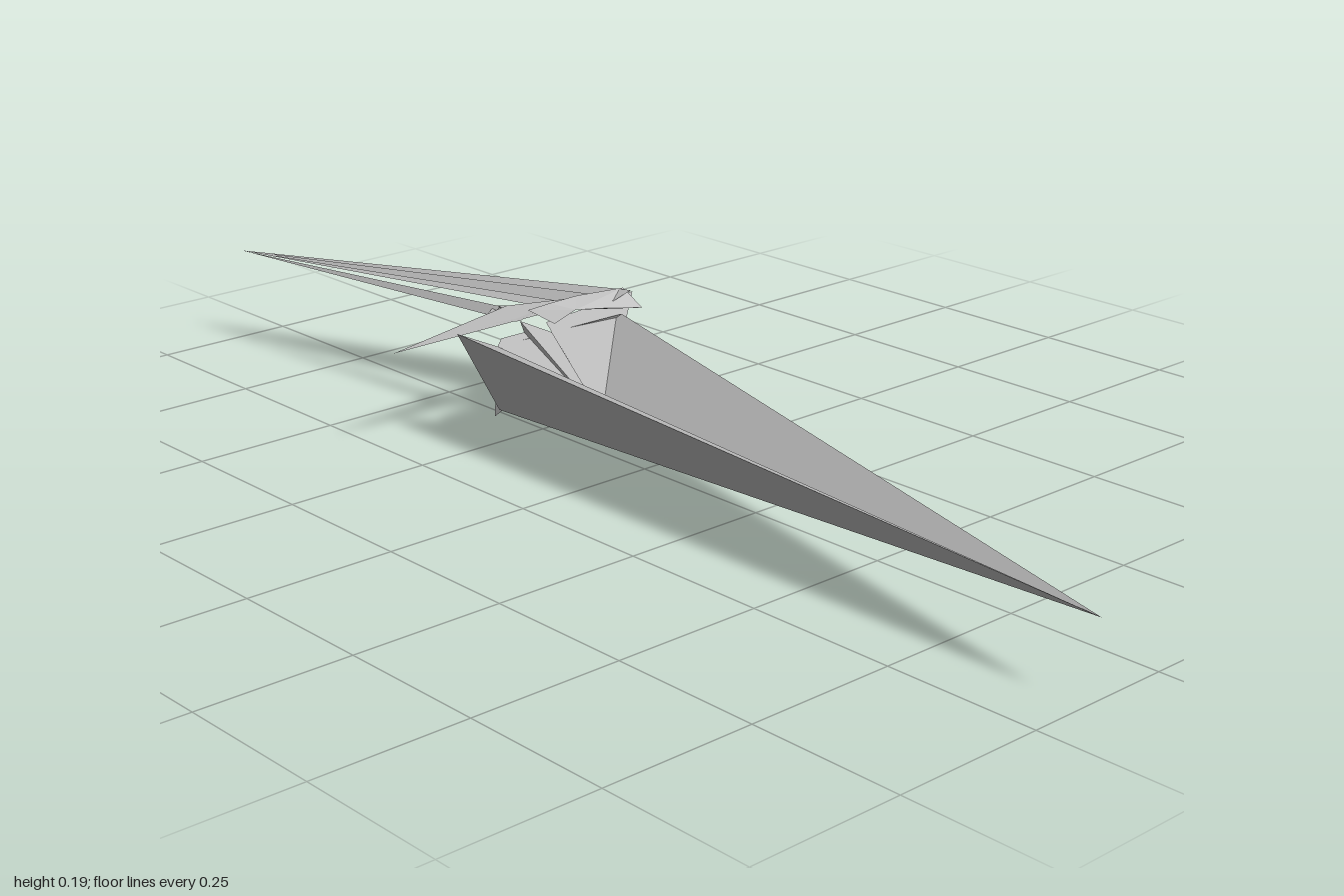
import * as THREE from 'three';

// Shared corner points
const P = {
  frontTip: [-0.13, 0.117, 1.0],
  backTip: [-0.08, 0.162, -1.0],
  leftTop: [-0.127, 0.178, -0.31],
  keel: [-0.043, 0.028, -0.31],
  inner: [-0.076, 0.155, -0.27],
  rightTop: [0.175, 0.162, -0.25],
  apronTip: [-0.015, 0.066, -0.08],
  rightEnd: [0.24, 0.178, -0.295],
  lowTip: [-0.021, 0, -0.35],
  sideTip: [-0.237, 0.163, -0.335],
};

export function createModel() {
  const group = new THREE.Group();
  const grey = new THREE.MeshStandardMaterial({ color: 0xb8b8b8, side: THREE.DoubleSide, flatShading: true });
  grey.name = 'plain grey';

  // Flat facets from lists of three corners
  function facets(name, triangles) {
    const geometry = new THREE.BufferGeometry();
    geometry.setAttribute('position', new THREE.Float32BufferAttribute(triangles.flat(2), 3));
    geometry.computeVertexNormals();
    const mesh = new THREE.Mesh(geometry, grey);
    mesh.name = name;
    group.add(mesh);
  }
  // Facets that spread from one tip along a rim
  function fan(name, tip, rim) {
    facets(name, rim.slice(1).map((p, i) => [tip, rim[i], p]));
  }

  // Long front spike: a broad sheet with a narrow folded side
  facets('frontSheet', [[P.frontTip, P.rightTop, P.keel]]);
  fan('frontFold', P.frontTip, [P.keel, P.inner, P.leftTop, P.keel]);
  facets('foldEnd', [[P.leftTop, P.inner, P.keel]]);

  // Creased apron across the middle
  fan('apron', P.apronTip, [
    P.inner, [-0.06, 0.163, -0.28], [-0.012, 0.163, -0.28], [-0.012, 0.18, -0.29],
    [0.022, 0.163, -0.25], [0.035, 0.17, -0.28], P.rightEnd,
  ]);

  // Short spike pointing down
  facets('lowerSpike', [[P.lowTip, P.inner, P.rightTop]]);

  // Back wing of narrow pleats
  fan('backWing', P.backTip, [
    [0.075, 0.178, -0.31], [0.1, 0.185, -0.31], [0.125, 0.176, -0.3], [0.15, 0.192, -0.29],
    [0.175, 0.18, -0.27], [0.205, 0.195, -0.26], [0.222, 0.163, -0.33],
  ]);
  fan('backStrip', P.backTip, [[-0.02, 0.176, -0.35], [-0.005, 0.19, -0.35], [0.005, 0.18, -0.35]]);

  // Thin sideways splinter
  facets('sideSplinter', [
    [P.sideTip, [0.005, 0.19, -0.345], [0.02, 0.182, -0.29]],
    [[0.005, 0.19, -0.345], [0.02, 0.182, -0.29], P.rightEnd],
  ]);

  // Small crumpled plates on top
  fan('topPlates', [0.1, 0.178, -0.28], [
    [0.02, 0.18, -0.24], [0.005, 0.195, -0.29], [0.06, 0.193, -0.3], [0.12, 0.194, -0.3],
    [0.205, 0.195, -0.28], [0.222, 0.163, -0.25], [0.15, 0.175, -0.26],
  ]);
  fan('centrePlates', [0, 0.186, -0.37], [
    [-0.07, 0.178, -0.325], [-0.012, 0.18, -0.29], [0.03, 0.185, -0.3], [0.065, 0.18, -0.33],
  ]);
  return group;
}
